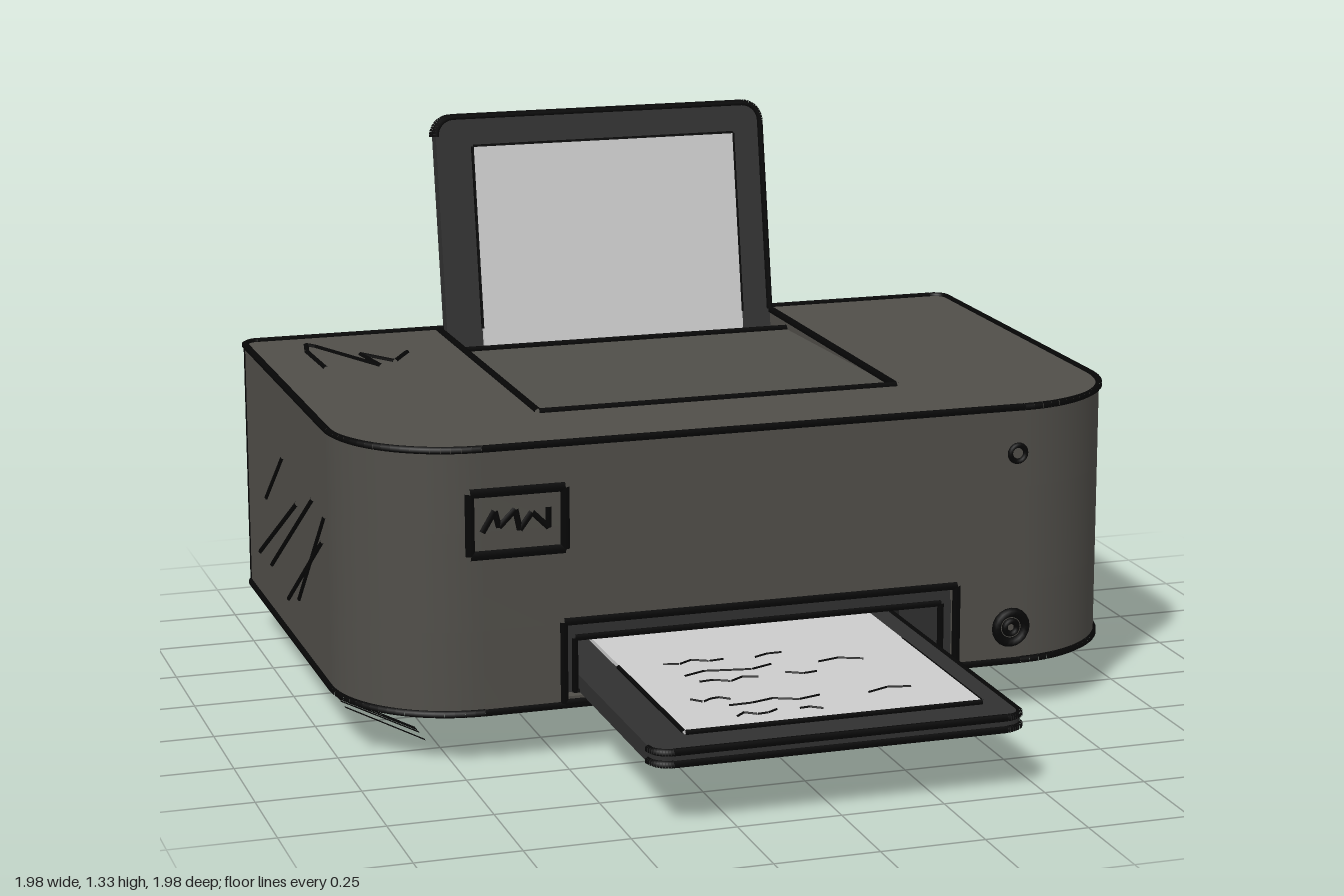
import * as THREE from 'three';
import { mergeGeometries, toCreasedNormals } from 'three/addons/utils/BufferGeometryUtils.js';

const mat = (color, side = THREE.FrontSide) => new THREE.MeshStandardMaterial({ color, side, roughness: 0.9 });
const shell = mat(0x504e49), dark = mat(0x303030), darker = mat(0x1c1c1c), sheet = mat(0xcccccc), black = mat(0x060606);

const BOTTOM = 0.13, TOP = 0.77, FRONT = 0.41, BACK = -0.89, W = 0.98;

export function createModel() {
  const root = new THREE.Group();
  root.name = 'printer';

  const add = (name, geometry, material, parent = root) => {
    const mesh = new THREE.Mesh(geometry, material);
    mesh.name = name;
    parent.add(mesh);
    return mesh;
  };
  const box = (name, x0, x1, y0, y1, z0, z1, material, parent) => {
    const mesh = add(name, new THREE.BoxGeometry(x1 - x0, y1 - y0, z1 - z0), material, parent);
    mesh.position.set((x0 + x1) / 2, (y0 + y1) / 2, (z0 + z1) / 2);
    return mesh;
  };
  // horizontal slab from a plan drawn in (x, -z)
  const slab = (name, shape, y0, y1, material) => {
    const g = new THREE.ExtrudeGeometry(shape, { depth: y1 - y0, bevelEnabled: false, curveSegments: 16 });
    g.rotateX(-Math.PI / 2).translate(0, y0, 0);
    return add(name, toCreasedNormals(g, 0.5), material);
  };
  // hand-drawn ink line through [x, y, z] points
  const ink = (name, points, r = 0.009, closed = false, parent = root) => {
    const v = points.map(p => new THREE.Vector3(...p));
    if (closed) v.push(v[0]);
    const parts = [];
    for (let i = 0; i + 1 < v.length; i++) {
      if (v[i].distanceTo(v[i + 1]) < 1e-4) continue;
      parts.push(new THREE.TubeGeometry(new THREE.LineCurve3(v[i], v[i + 1]), 1, r, 6));
    }
    return add(name, mergeGeometries(parts), black, parent);
  };
  const rectXY = (x0, x1, y0, y1, z) => [[x0, y0, z], [x1, y0, z], [x1, y1, z], [x0, y1, z]];

  // body plan: large front corners, small back corners, optional front notch
  const plan = (notch) => {
    const s = new THREE.Shape(), R = 0.3, r = 0.04;
    s.moveTo(-W + R, -FRONT);
    if (notch) {
      s.lineTo(-0.48, -FRONT).lineTo(-0.48, -0.08).lineTo(0.51, -0.08).lineTo(0.51, -FRONT);
    }
    s.lineTo(W - R, -FRONT);
    s.absarc(W - R, -FRONT + R, R, -Math.PI / 2, 0, false);
    s.absarc(W - r, -BACK - r, r, 0, Math.PI / 2, false);
    s.absarc(-W + r, -BACK - r, r, Math.PI / 2, Math.PI, false);
    s.absarc(-W + R, -FRONT + R, R, Math.PI, Math.PI * 1.5, false);
    return s;
  };
  const topPlan = plan(false);
  topPlan.holes.push(new THREE.Path([
    [-0.455, 0.86], [0.465, 0.86], [0.465, -0.1], [-0.455, -0.1],
  ].map(p => new THREE.Vector2(...p))));
  slab('bodyBase', plan(false), BOTTOM, 0.15, shell);
  slab('bodyLower', plan(true), 0.15, 0.33, shell);
  slab('bodyMiddle', plan(false), 0.33, 0.57, shell);
  slab('bodyTop', topPlan, 0.57, TOP, shell);

  // sunken top panel, sloping gently to the paper feed
  const panel = new THREE.Shape([
    [-0.1, 0.57], [0.73, 0.57], [0.73, 0.742], [-0.1, 0.764],
  ].map(p => new THREE.Vector2(...p)));
  const panelGeo = new THREE.ExtrudeGeometry(panel, { depth: 0.92, bevelEnabled: false });
  panelGeo.rotateY(Math.PI / 2).translate(-0.455, 0, 0);
  add('topPanel', panelGeo, shell);
  box('feedSlotFloor', -0.45, 0.46, 0.57, 0.59, -0.86, -0.73, darker);
  box('feedSlotFrontWall', -0.45, 0.46, 0.57, 0.74, -0.74, -0.725, dark);

  // output slot lining
  box('slotBack', -0.475, 0.505, 0.15, 0.325, 0.08, 0.1, darker);
  box('slotCeiling', -0.475, 0.505, 0.285, 0.328, 0.1, 0.38, dark);
  box('slotSideRight', -0.478, -0.45, 0.15, 0.29, 0.1, 0.38, dark);
  box('slotSideLeft', 0.48, 0.508, 0.15, 0.29, 0.1, 0.38, dark);

  // flat plate with two rounded corners on its +y edge
  const plate = (x0, x1, y0, y1, r) => {
    const s = new THREE.Shape();
    s.moveTo(x0, y0).lineTo(x1, y0);
    s.absarc(x1 - r, y1 - r, r, 0, Math.PI / 2, false);
    s.absarc(x0 + r, y1 - r, r, Math.PI / 2, Math.PI, false);
    return s;
  };
  const plateGeo = (shape, depth) => toCreasedNormals(
    new THREE.ExtrudeGeometry(shape, { depth, bevelEnabled: false, curveSegments: 8 }), 0.5);

  // output tray and printed sheet
  const outShape = plate(-0.44, 0.455, 0.1, 0.98, 0.045);
  const outGeo = plateGeo(outShape, 0.04).rotateX(Math.PI / 2).translate(0, 0.19, 0);
  add('outputTray', outGeo, dark);
  for (const y of [0.157, 0.185])
    ink('outputTrayOutline', outShape.getPoints(6).map(p => [p.x, y, p.y]), 0.009);
  box('printedSheet', -0.35, 0.37, 0.205, 0.215, 0.1, 0.925, sheet);
  ink('printedSheetEdge', [[-0.35, 0.21, FRONT], [-0.35, 0.21, 0.925], [0.37, 0.21, 0.925], [0.37, 0.21, FRONT]], 0.006);
  const rows = [[-0.25, 0.05, 0.44], [-0.23, 0.22, 0.53], [-0.21, 0.08, 0.6], [-0.27, -0.09, 0.73], [-0.2, 0.25, 0.78], [-0.21, 0, 0.86]];
  rows.forEach(([x0, x1, z], i) => {
    const pts = [];
    for (let k = 0; k <= 8; k++)
      pts.push([x0 + (x1 - x0) * k / 8, 0.216, z + 0.014 * Math.sin(k * 2.3 + i * 1.7)]);
    ink('printedLine', pts.slice(0, 5), 0.003);
    if (x1 - x0 > 0.2) ink('printedLine', pts.slice(6), 0.003);
  });

  // rear paper support, leaning back
  const support = new THREE.Group();
  support.name = 'rearPaperSupport';
  support.position.set(0, TOP, -0.87);
  support.rotation.x = -0.175;
  root.add(support);
  const backShape = plate(-0.44, 0.46, -0.12, 0.56, 0.05);
  add('supportPlate', plateGeo(backShape, 0.042).translate(0, 0, -0.021), dark, support);
  for (const z of [-0.018, 0.018])
    ink('supportOutline', backShape.getPoints(6).slice(1).map(p => [p.x, Math.max(p.y, 0), z]), 0.009, false, support);
  box('blankSheet', -0.35, 0.37, -0.14, 0.48, 0.046, 0.058, sheet, support);
  ink('blankSheetEdge', [[-0.35, 0, 0.054], [-0.35, 0.48, 0.054], [0.37, 0.48, 0.054], [0.37, 0, 0.054]], 0.005, false, support);

  // ink along the body edges
  const outline = plan(false).getPoints(10);
  for (const y of [BOTTOM, TOP])
    ink('bodyEdgeLine', outline.map(p => [p.x, y, -p.y]), 0.009, true);
  for (const x of [-0.972, 0.972])
    ink('backCornerLine', [[x, BOTTOM, BACK + 0.01], [x, TOP, BACK + 0.01]], 0.007);
  ink('topPanelLine', [[-0.455, TOP, -0.87], [-0.455, TOP, 0.1], [0.465, TOP, 0.1], [0.465, TOP, -0.87]], 0.01);
  ink('panelRearLine', [[-0.455, 0.745, -0.725], [0.465, 0.745, -0.725]], 0.009);
  ink('slotLine', rectXY(-0.485, 0.51, 0.135, 0.335, FRONT), 0.01, true);
  ink('slotInnerLine', rectXY(-0.45, 0.48, 0.15, 0.285, 0.382), 0.008, true);

  // small display and buttons
  ink('displayFrame', rectXY(-0.71, -0.48, 0.515, 0.665, FRONT), 0.012, true);
  ink('displayScribble', [[-0.68, 0.57], [-0.65, 0.62], [-0.64, 0.58], [-0.6, 0.62], [-0.59, 0.57], [-0.56, 0.61], [-0.52, 0.57], [-0.52, 0.62]]
    .map(([x, y]) => [x, y, FRONT]), 0.008);
  const ring = (name, x, y, r, t) => add(name, new THREE.TorusGeometry(r, t, 6, 20), black).position.set(x, y, FRONT);
  ring('smallButton', 0.665, 0.655, 0.02, 0.007);
  ring('powerButton', 0.655, 0.215, 0.038, 0.012);
  ring('powerButtonMark', 0.655, 0.215, 0.016, 0.008);

  // shading scribbles on the top and sides
  ink('topScribble', [[-0.84, -0.515], [-0.845, -0.72], [-0.83, -0.8], [-0.81, -0.77], [-0.70, -0.5], [-0.72, -0.65], [-0.655, -0.545], [-0.6, -0.64]]
    .map(([x, z]) => [x, TOP, z]), 0.007);
  ink('leftSideScribble', [[-0.51, 0.235], [-0.75, 0.455], [-0.59, 0.21], [-0.81, 0.37], [-0.73, 0.22]]
    .map(([z, y]) => [W, y, z]), 0.007);
  for (const [z0, y0, z1, y1] of [[-0.72, 0.25, -0.24, 0.5], [-0.57, 0.255, -0.05, 0.56], [-0.37, 0.22, 0.05, 0.48], [-0.24, 0.255, 0.08, 0.55], [-0.62, 0.42, -0.4, 0.58]])
    ink('rightSideHatch', [[-W, y0, z0], [-W, y1, z1]], 0.007);

  // loose strokes under the right side, facing up
  for (const [z0, z1] of [[0.25, 0.18], [0.2, 0.12], [0.18, 0.1], [0.16, 0.085]]) {
    const g = new THREE.BufferGeometry(), h = 0.008;
    g.setAttribute('position', new THREE.Float32BufferAttribute([
      -0.98, 0.125, z0 - h, -0.98, 0.125, z0 + h, -0.77, 0, z1 + h, -0.77, 0, z1 - h], 3));
    g.setIndex([0, 1, 2, 0, 2, 3]);
    g.computeVertexNormals();
    add('looseStroke', g, black);
  }
  return root;
}
